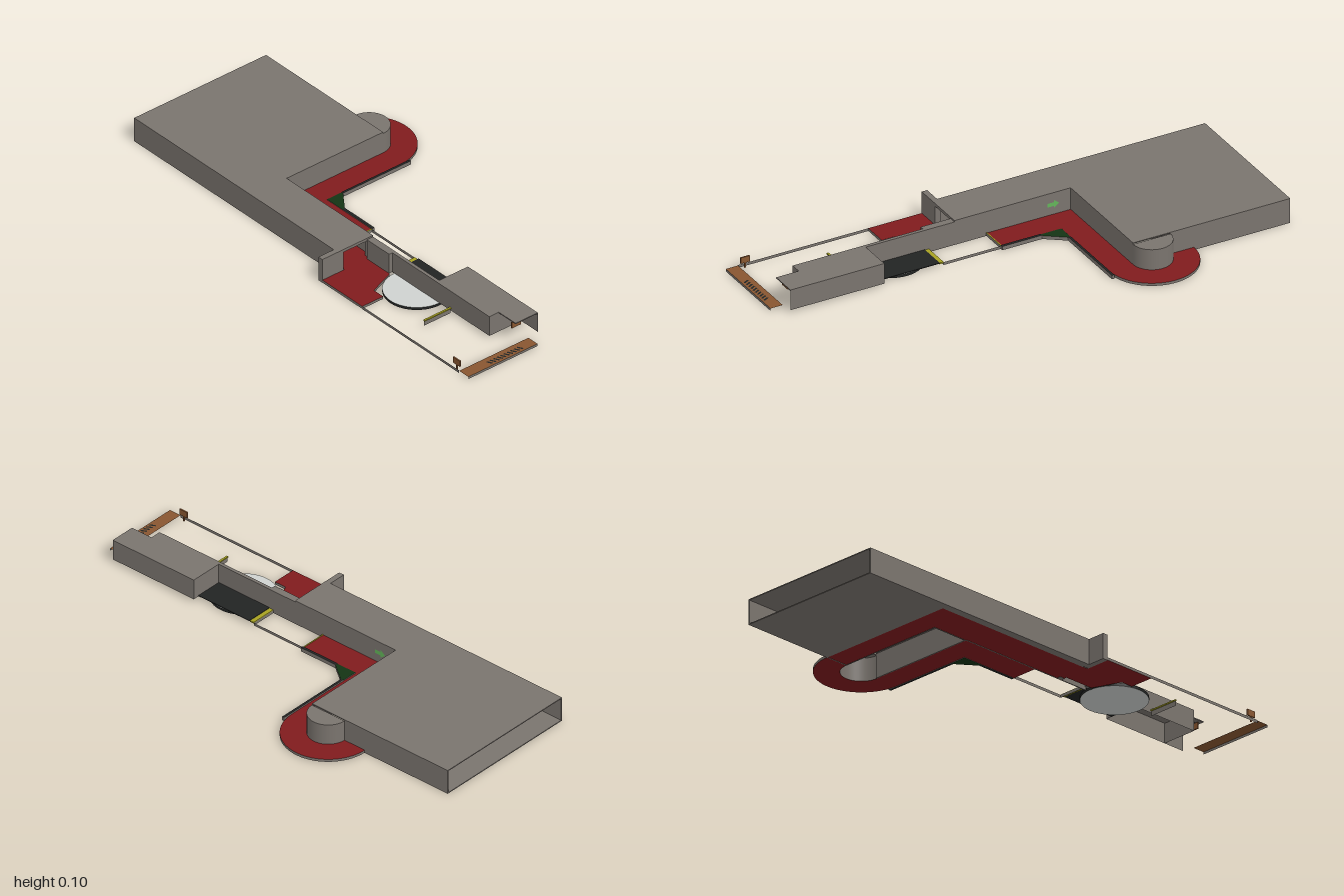
import * as THREE from 'three';

const mat = (name, color) => {
  const m = new THREE.MeshStandardMaterial({ color, side: THREE.DoubleSide });
  m.name = name;
  return m;
};

export function createModel() {
  const grey = mat('wall grey', 0x7a746e);
  const red = mat('floor red', 0x801b1d);
  const brown = mat('wood brown', 0x885630);
  const black = mat('platform black', 0x222423);
  const pale = mat('disc pale grey', 0xced2cf);
  const green = mat('arrow green', 0x63b45a);
  const darkGreen = mat('ramp green', 0x143414);
  const yellow = mat('line yellow', 0xa8a222);

  const model = new THREE.Group();
  const add = (name, geometry, material) => {
    const mesh = new THREE.Mesh(geometry, material);
    mesh.name = name;
    model.add(mesh);
    return mesh;
  };
  // box given by its lower and upper limits
  const box = (name, material, x0, x1, y0, y1, z0, z1) => {
    const g = new THREE.BoxGeometry(x1 - x0, y1 - y0, z1 - z0);
    return add(name, g.translate((x0 + x1) / 2, (y0 + y1) / 2, (z0 + z1) / 2), material);
  };
  // upright sheet without thickness between two points of the plan
  const sheet = (name, material, [x, z], [u, v], y0, y1) => {
    const g = new THREE.PlaneGeometry(Math.hypot(u - x, v - z), y1 - y0);
    g.rotateY(Math.atan2(z - v, u - x)).translate((x + u) / 2, (y0 + y1) / 2, (z + v) / 2);
    return add(name, g, material);
  };
  // horizontal plate from an outline drawn in x and z
  const slab = (name, materials, shape, y0, y1) => {
    const g = new THREE.ExtrudeGeometry(shape, { depth: y1 - y0, bevelEnabled: false, curveSegments: 24 });
    return add(name, g.rotateX(Math.PI / 2).translate(0, y1, 0), materials);
  };
  const outline = (pts) => new THREE.Shape(pts.map(([x, z]) => new THREE.Vector2(x, z)));

  const T = 0.004, H = 0.104, LOW = 0.098, F = 0.012;
  const CX = -0.41, CZ = -0.27, RO = 0.18, RI = 0.08;
  const FRONT = 0.372, EDGE = 0.447;

  // main hall and corridor: roof, floor and outer walls, open at the far end
  slab('hallRoof', grey, outline([[-1, CZ], [-0.33, CZ], [-0.33, 0.2], [0.165, 0.2],
    [0.165, EDGE], [0.142, EDGE], [0.142, FRONT], [-1, FRONT]]), H - T, H);
  slab('hallFloor', grey, outline([[-1, CZ], [-0.59, CZ], [-0.59, 0.34], [0.142, 0.34],
    [0.142, FRONT], [-1, FRONT]]), 0, T);
  box('hallFrontWall', grey, -1, 0.142, 0, H - T, FRONT - T, FRONT);
  box('hallBackWall', grey, -1, CX - RI, 0, H - T, CZ, CZ + T);
  box('hallSideWall', grey, -0.33 - T, -0.33, 0, H - T, CZ, 0.2);
  box('islandWall', grey, CX - RI - T, CX - RI, 0, H - T, CZ, 0.2);
  box('islandEndWall', grey, CX - RI, -0.33, 0, H - T, 0.2 - T, 0.2);
  box('corridorBackWall', grey, -0.33, 0.165, 0, H - T, 0.2, 0.2 + T);
  box('corridorFarWall', grey, -0.594, -0.59, 0, H - T, 0.2, FRONT);

  // corridor doorway
  box('doorPost', grey, 0.142, 0.165, 0, H - T, 0.345, EDGE);
  box('doorPost', grey, 0.142, 0.165, 0, H - T, 0.2, 0.22);
  box('doorLintel', grey, 0.142, 0.165, 0.092, H - T, 0.22, 0.345);

  // row of small windows on the island wall
  for (const z of [-0.18, -0.08, 0.02]) {
    box('windowFrame', black, CX - RI, CX - RI + 0.003, 0.035, 0.07, z - 0.027, z + 0.027);
    box('windowPane', grey, CX - RI, CX - RI + 0.005, 0.037, 0.068, z - 0.025, z + 0.025);
  }

  // rounded end of the island
  add('roundWall', new THREE.CylinderGeometry(RI, RI, LOW, 20, 1, true, Math.PI / 2, Math.PI)
    .translate(CX, LOW / 2, CZ), grey);
  const cap = new THREE.Shape();
  cap.absarc(CX, CZ, RI, Math.PI, Math.PI * 2, false);
  slab('roundRoof', grey, cap, LOW - T, LOW);

  // red walkway looping round the island
  const loop = new THREE.Shape();
  loop.moveTo(CX - RO, 0.34);
  loop.lineTo(CX - RO, CZ);
  loop.absarc(CX, CZ, RO, Math.PI, Math.PI * 2, false);
  [[-0.23, 0.09], [0.03, 0.09], [0.03, 0.2], [0.165, 0.2], [0.165, 0.34]].forEach(([x, z]) => loop.lineTo(x, z));
  loop.closePath();
  const gap = new THREE.Path();
  gap.moveTo(CX - RI, 0.2);
  gap.lineTo(CX - RI, CZ);
  gap.absarc(CX, CZ, RI, Math.PI, Math.PI * 2, false);
  gap.lineTo(CX + RI, 0.2);
  gap.closePath();
  loop.holes.push(gap);
  slab('walkway', [red, grey], loop, 0.001, F);
  slab('frontPlatform', [red, grey], outline([[0.165, 0.23], [0.295, 0.23], [0.34, 0.345],
    [0.393, 0.345], [0.393, EDGE], [0.165, EDGE]]), 0.001, F);

  // edging and ramp beside the walkway
  slab('walkwayEdge', [black, grey], outline([[-0.228, -0.31], [-0.218, -0.31], [-0.218, 0.02],
    [-0.228, 0.02]]), 0, 0.016);
  slab('ramp', [darkGreen, grey], outline([[-0.228, 0.02], [-0.218, 0.02], [-0.14, 0.078],
    [-0.14, 0.09], [-0.228, 0.09]]), 0, 0.014);
  slab('stepEdge', [black, grey], outline([[-0.14, 0.078], [0.03, 0.078], [0.03, 0.09],
    [-0.14, 0.09]]), 0, 0.016);
  box('walkwayEndLine', yellow, 0.026, 0.03, F, F + 0.002, 0.09, 0.2);

  // narrow passage wall leading to the long room
  box('passageRoof', grey, 0.165, 0.292, LOW - T, LOW, 0.2, 0.23);
  box('passageFront', grey, 0.165, 0.292, F, LOW - T, 0.23 - T, 0.23);
  box('passageBack', grey, 0.165, 0.292, 0, LOW - T, 0.2, 0.2 + T);
  box('passageEnd', grey, 0.292 - T, 0.292, F, LOW - T, 0.2, 0.23);
  box('longWall', grey, 0.292, 0.543, F, LOW, 0.2, 0.214);

  // long room, with an open porch under its far end
  slab('roomRoof', grey, outline([[0.543, 0.06], [0.943, 0.06], [0.943, 0.168], [0.847, 0.168],
    [0.847, 0.214], [0.543, 0.214]]), LOW - T, LOW);
  sheet('roomBackWall', grey, [0.543, 0.06], [0.943, 0.06], F, LOW);
  sheet('roomFrontWall', grey, [0.543, 0.214], [0.847, 0.214], F, LOW);
  sheet('roomNearWall', grey, [0.543, 0.06], [0.543, 0.214], F, LOW);
  sheet('porchWall', grey, [0.847, 0.06], [0.847, 0.214], F, LOW);

  // turntable disc and the dark platform over its rear half
  add('turntable', new THREE.CylinderGeometry(0.129, 0.129, 0.011, 40).translate(0.432, 0.0065, 0.214),
    [black, pale, pale]);
  box('darkPlatform', black, 0.292, 0.543, F + 0.001, 0.016, 0.086, 0.2);
  box('platformLine', yellow, 0.274, 0.292, 0.008, 0.014, 0.09, 0.2);
  sheet('platformSide', grey, [0.273, 0.09], [0.273, 0.2], 0, F);

  // low thin kerbs
  sheet('rearKerb', grey, [0.03, 0.09], [0.273, 0.09], 0, F);
  sheet('frontKerb', grey, [0.393, EDGE], [0.948, EDGE], 0, F);
  sheet('deckKerb', grey, [1, 0.11], [1, EDGE], 0, 0.01);
  sheet('crossKerb', grey, [0.625, 0.214], [0.625, 0.343], 0, 0.02);
  box('crossLine', yellow, 0.621, 0.629, 0.02, 0.025, 0.214, 0.343);

  // wooden deck at the end with a row of dark slats
  add('deck', new THREE.PlaneGeometry(0.052, EDGE - 0.11).rotateX(-Math.PI / 2)
    .translate(0.974, 0.01, (EDGE + 0.11) / 2), brown);
  for (let i = 0; i < 10; i++) {
    const slat = add('deckSlat', new THREE.PlaneGeometry(0.024, 0.008).rotateX(-Math.PI / 2), black);
    slat.position.set(0.981, 0.0115, 0.178 + i * 0.0165);
    slat.rotation.y = 0.5;
  }

  // sign hanging in the porch and standing sign by the deck
  box('hangingSign', brown, 0.914, 0.919, 0.061, 0.087, 0.122, 0.166);
  box('signBracket', brown, 0.915, 0.918, 0.071, 0.076, 0.112, 0.122);
  box('signHanger', black, 0.915, 0.918, 0.087, LOW - T, 0.143, 0.146);
  box('standingSign', brown, 0.904, 0.943, 0.022, 0.047, 0.434, 0.44);
  box('signPost', brown, 0.92, 0.926, 0, 0.022, 0.435, 0.439);

  // green direction arrows
  const arrowShape = outline([[-0.025, -0.008], [0.003, -0.008], [0.003, -0.017], [0.025, 0],
    [0.003, 0.017], [0.003, 0.008], [-0.025, 0.008]]);
  const arrow = (x, y, z, turn) => {
    const m = add('arrow', new THREE.ShapeGeometry(arrowShape), green);
    m.position.set(x, y, z);
    m.rotation.y = turn;
  };
  arrow(-0.587, 0.056, 0.292, Math.PI / 2);
  arrow(-0.255, 0.056, 0.198, Math.PI);

  return model;
}
